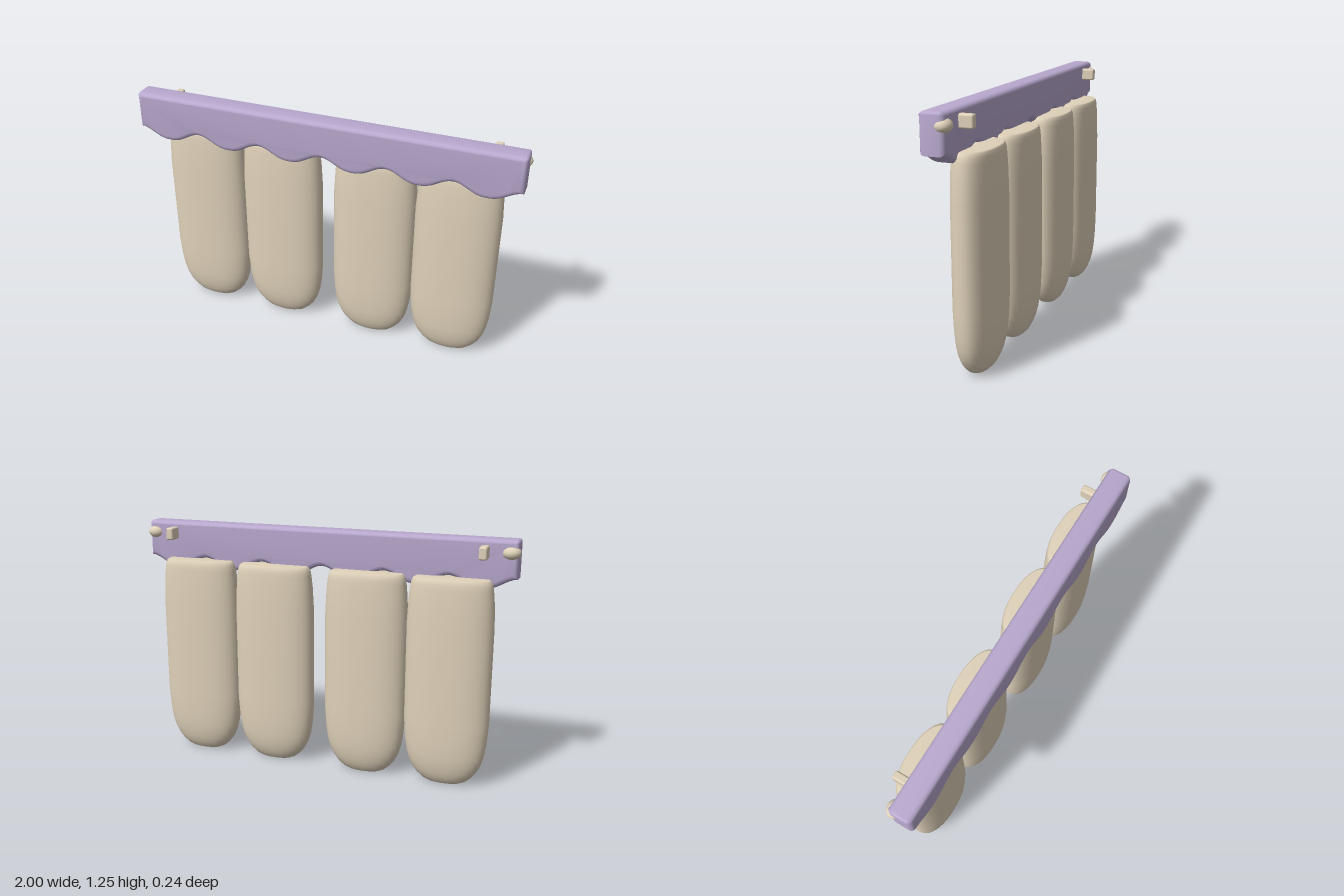
import * as THREE from 'three';
import { mergeVertices, toCreasedNormals } from 'three/addons/utils/BufferGeometryUtils.js';
import { RoundedBoxGeometry } from 'three/addons/geometries/RoundedBoxGeometry.js';

const lilac = new THREE.MeshStandardMaterial({ color: 0xb9a9cf });
const cream = new THREE.MeshStandardMaterial({ color: 0xe0d2ba });

function addMesh(group, name, geometry, material, x = 0, y = 0, z = 0) {
  const mesh = new THREE.Mesh(geometry, material);
  mesh.name = name;
  mesh.position.set(x, y, z);
  group.add(mesh);
  return mesh;
}

// Header bar with a scalloped lower edge and rounded rims
function headerGeometry() {
  const half = 0.99, top = 1.25, bevel = 0.025, r = 0.015, steps = 96;
  const shape = new THREE.Shape();
  shape.moveTo(half, top - r);
  shape.quadraticCurveTo(half, top, half - r, top);
  shape.lineTo(-half + r, top);
  shape.quadraticCurveTo(-half, top, -half, top - r);
  for (let i = 0; i <= steps; i++) {
    const x = -half + (2 * half * i) / steps;
    const wave = (1 + Math.cos((x / 0.33) * Math.PI * 2)) / 2;
    shape.lineTo(x, 1.008 + 0.055 * Math.pow(wave, 1.3));
  }
  const geometry = new THREE.ExtrudeGeometry(shape, {
    depth: 0.12 - 2 * bevel, bevelEnabled: true, bevelThickness: bevel,
    bevelSize: bevel, bevelOffset: -bevel, bevelSegments: 4, curveSegments: 4,
  });
  geometry.translate(0, 0, bevel);
  return toCreasedNormals(geometry, 0.7);
}

// Padded hanging panel: a turned profile flattened to a soft oval
function panelGeometry() {
  const profile = [
    [0, 0], [0.4, 0.002], [0.53, 0.015], [0.66, 0.04], [0.77, 0.07], [0.86, 0.11],
    [0.92, 0.155], [0.965, 0.22], [1, 0.33], [1, 0.6], [1, 0.83], [0.97, 0.95],
    [0.94, 1.01], [0.92, 1.035], [0.88, 1.053], [0.82, 1.06], [0, 1.06],
  ].map(([r, y]) => new THREE.Vector2(r, y));
  let geometry = new THREE.LatheGeometry(profile, 40);
  const pos = geometry.attributes.position;
  const soften = (v, r) => (r < 1e-6 ? 0 : Math.sign(v) * r * Math.pow(Math.abs(v) / r, 0.9));
  for (let i = 0; i < pos.count; i++) {
    const x = pos.getX(i), z = pos.getZ(i), r = Math.hypot(x, z);
    pos.setX(i, soften(x, r) * 0.216);
    pos.setZ(i, soften(z, r) * 0.1);
  }
  geometry.deleteAttribute('normal');
  geometry.deleteAttribute('uv');
  geometry = mergeVertices(geometry, 1e-5);
  geometry.computeVertexNormals();
  return geometry;
}

export function createModel() {
  const model = new THREE.Group();
  model.name = 'scallopedCurtain';

  addMesh(model, 'scallopedHeader', headerGeometry(), lilac);

  // Two pairs of panels with a gap in the middle
  const panel = panelGeometry();
  [-0.683, -0.253, 0.25, 0.679].forEach((x, i) =>
    addMesh(model, `hangingPanel${i + 1}`, panel, cream, x, 0, -0.016));

  // End knobs and small pegs on the back of the header
  const knob = new THREE.SphereGeometry(1, 24, 16).scale(0.045, 0.033, 0.04);
  const peg = new RoundedBoxGeometry(0.04, 0.064, 0.09, 3, 0.01);
  for (const [side, s] of [['left', 1], ['right', -1]]) {
    addMesh(model, `${side}EndKnob`, knob, cream, s * 0.955, 1.19, 0.018);
    addMesh(model, `${side}BackPeg`, peg, cream, s * 0.833, 1.192, -0.022);
  }
  return model;
}
